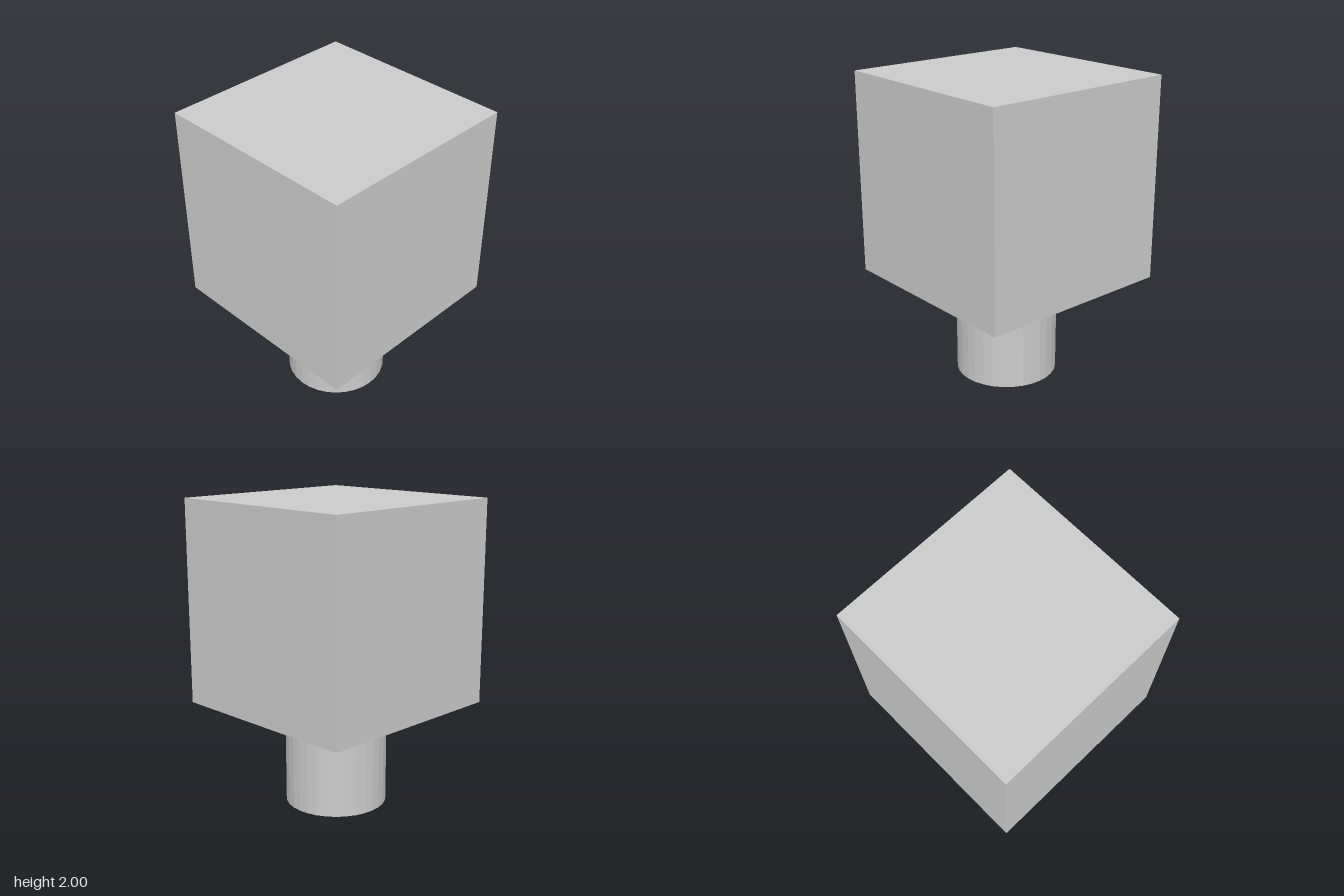
import * as THREE from 'three';

export function createModel() {
  const model = new THREE.Group();
  const unit = 2 / 3;

  // Cube head
  const head = new THREE.Mesh(
    new THREE.BoxGeometry(2 * unit, 2 * unit, 2 * unit),
    new THREE.MeshStandardMaterial({ color: 0xcccccc, flatShading: true })
  );
  head.name = 'head';
  head.position.y = 2 * unit;
  model.add(head);

  // Hollow stem, open at the bottom
  const stem = new THREE.Mesh(
    new THREE.CylinderGeometry(unit / 2, unit / 2, unit, 32, 1, true),
    new THREE.MeshStandardMaterial({ color: 0xcccccc, flatShading: true, side: THREE.DoubleSide })
  );
  stem.name = 'stem';
  stem.position.y = unit / 2;
  model.add(stem);

  return model;
}
